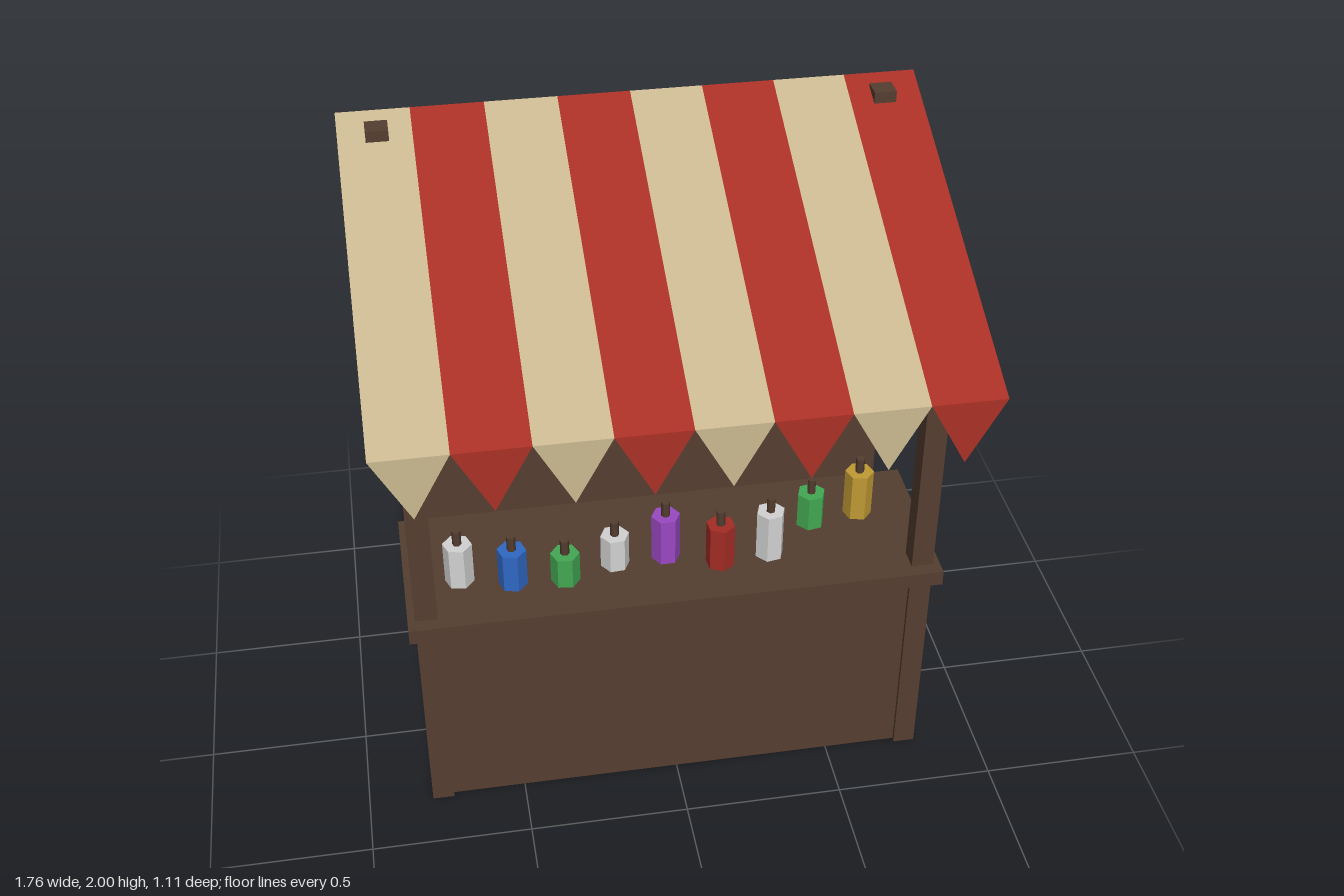
import * as THREE from 'three';

const mat = (name, color, extra = {}) => {
  const m = new THREE.MeshStandardMaterial({ color, ...extra });
  m.name = name;
  return m;
};

export function createModel() {
  const root = new THREE.Group();
  root.name = 'marketStall';

  const wood = mat('dark wood', 0x553e31);
  const cream = mat('cream cloth', 0xc8b78f, { side: THREE.DoubleSide });
  const red = mat('red cloth', 0xa83025, { side: THREE.DoubleSide });
  const glass = {
    white: mat('pale glass', 0xd2d2d2, { flatShading: true }),
    blue: mat('blue glass', 0x2f68c4, { flatShading: true }),
    green: mat('green glass', 0x43a853, { flatShading: true }),
    purple: mat('purple glass', 0x9a48c2, { flatShading: true }),
    red: mat('red glass', 0xa52c25, { flatShading: true }),
    gold: mat('amber glass', 0xc09a34, { flatShading: true }),
  };

  const add = (parent, name, geo, material, x = 0, y = 0, z = 0) => {
    const mesh = new THREE.Mesh(geo, material);
    mesh.name = name;
    mesh.position.set(x, y, z);
    parent.add(mesh);
    return mesh;
  };
  // Box given by half width and its y and z ranges
  const slab = (name, halfW, y0, y1, z0, z1, x = 0) =>
    add(root, name, new THREE.BoxGeometry(halfW * 2, y1 - y0, z1 - z0), wood,
      x, (y0 + y1) / 2, (z0 + z1) / 2);

  // Counter and back cabinet
  slab('counterBody', 0.785, 0.004, 0.71, -0.115, 0.305);
  slab('counterTop', 0.82, 0.71, 0.76, -0.17, 0.36);
  slab('backCabinet', 0.777, 0.004, 1.15, -0.53, -0.30);
  slab('backShelf', 0.79, 1.15, 1.185, -0.555, -0.28);

  // Corner posts
  for (const s of [-1, 1]) {
    slab('frontPost', 0.034, 0, 1.57, 0.25, 0.318, s * 0.764);
    slab('backPost', 0.034, 0, 1.987, -0.515, -0.447, s * 0.764);
  }

  // Striped canopy with a pennant on each stripe
  const surface = (points, index) => {
    const g = new THREE.BufferGeometry();
    g.setAttribute('position', new THREE.Float32BufferAttribute(points, 3));
    g.setIndex(index);
    g.computeVertexNormals();
    return g;
  };
  const canopy = new THREE.Group();
  canopy.name = 'canopy';
  root.add(canopy);
  const w = 0.22;
  for (let i = 0; i < 8; i++) {
    const a = -0.88 + i * w, b = a + w;
    const cloth = i % 2 ? red : cream;
    add(canopy, 'canopyStripe', surface(
      [a, 2, -0.56, b, 2, -0.56, a, 1.53, 0.547, b, 1.53, 0.547], [0, 2, 1, 1, 2, 3]), cloth);
    add(canopy, 'pennant', surface(
      [a, 1.53, 0.547, (a + b) / 2, 1.33, 0.553, b, 1.53, 0.547], [0, 1, 2]), cloth);
  }

  // Corked bottles on the counter: colour, body height, z, turn
  const bottles = [
    ['white', 0.143, 0.15, 0.35], ['blue', 0.132, 0.19, 0.3], ['green', 0.104, 0.2, 0.4],
    ['white', 0.115, 0.15, 0.6], ['purple', 0.162, 0.14, 0.55], ['red', 0.152, 0.2, 0.1],
    ['white', 0.167, 0.18, 0.7], ['green', 0.12, 0.05, 0.7], ['gold', 0.163, 0.025, 0.3],
  ];
  bottles.forEach(([color, h, z, turn], i) => {
    const bottle = new THREE.Group();
    bottle.name = 'bottle';
    bottle.position.set(-0.65 + i * 0.16, 0.76, z);
    bottle.rotation.y = turn;
    root.add(bottle);
    add(bottle, 'bottleBody', new THREE.CylinderGeometry(0.045, 0.045, h, 6), glass[color], 0, h / 2, 0);
    add(bottle, 'bottleNeck', new THREE.CylinderGeometry(0.014, 0.014, 0.05, 6), wood, 0, h + 0.025, 0);
  });

  // Tapered jars on the back shelf
  ['green', 'gold', 'purple', 'red', 'blue', 'green'].forEach((color, i) => {
    const jar = add(root, 'jar', new THREE.CylinderGeometry(0.038, 0.055, 0.155, 6),
      glass[color], -0.61 + i * 0.244, 1.2625, -0.415);
    jar.rotation.y = Math.PI / 6 + [0.1, -0.15, 0, 0.1, 0.2, -0.1][i];
  });

  return root;
}
